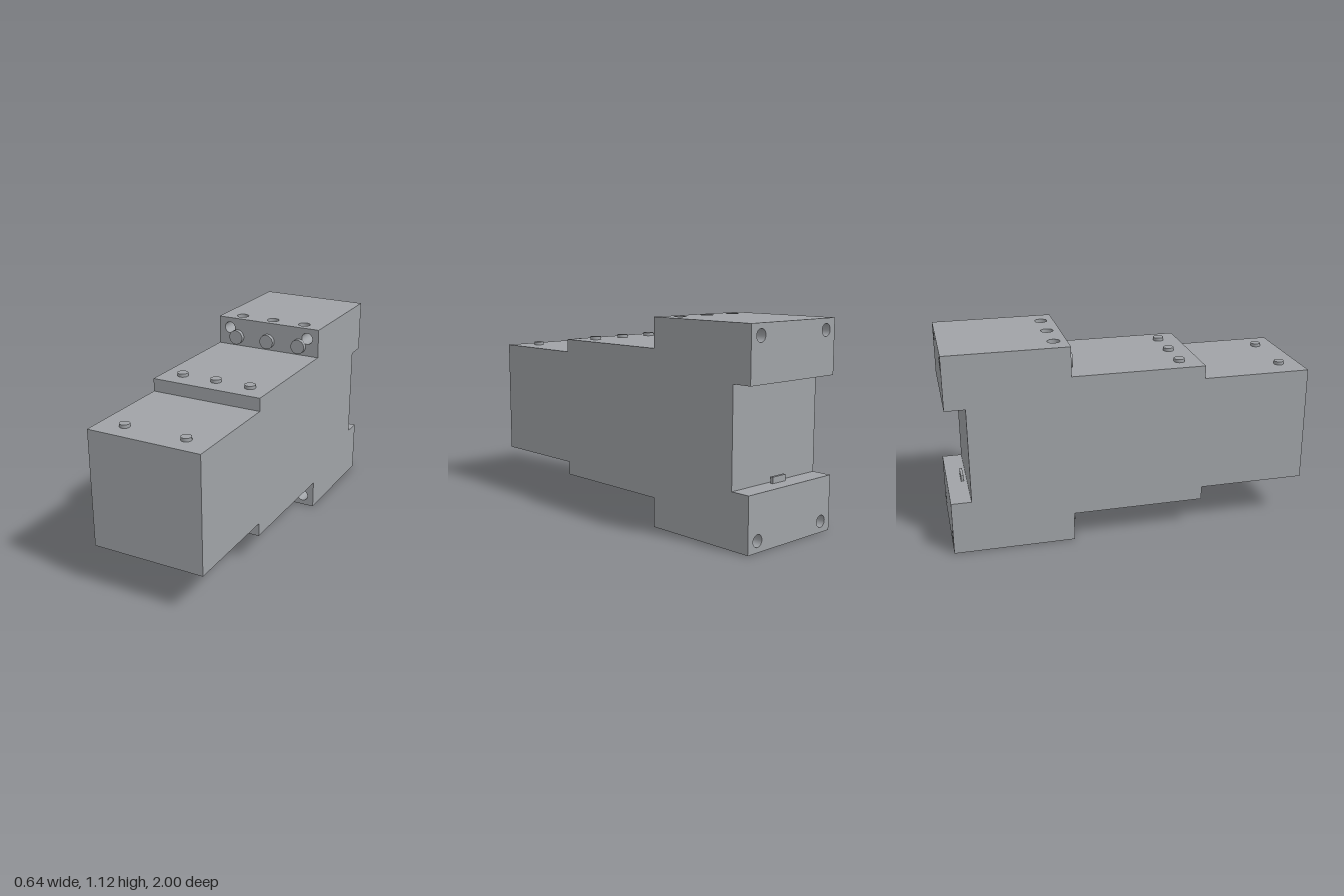
import * as THREE from 'three';

export function createModel() {
  const model = new THREE.Group();
  const grey = new THREE.MeshStandardMaterial({ color: 0xa0a3a7, side: THREE.DoubleSide });
  grey.name = 'housing grey';
  const HALF = 0.32;

  function add(name, geometry, x = 0, y = 0, z = 0) {
    const mesh = new THREE.Mesh(geometry, grey);
    mesh.name = name;
    mesh.position.set(x, y, z);
    model.add(mesh);
    return mesh;
  }

  // Stepped side profile as [z, y], with the rail notch at the back
  const profile = [
    [1, 0.235], [0.4, 0.235], [0.4, 0.16], [-0.335, 0.16],
    [-0.335, 0], [-1, 0], [-1, 0.298], [-0.89, 0.298],
    [-0.89, 0.825], [-1, 0.825], [-1, 1.12], [-0.335, 1.12],
    [-0.335, 0.957], [0.4, 0.957], [0.4, 0.885], [1, 0.885],
  ];

  // Hole mouths as [x, y, z, radius]
  const mouths = [];
  const boreX = [-0.2, 0, 0.2];
  for (const x of [-0.25, 0.25]) {
    for (const y of [0.06, 1.06]) {
      mouths.push([x, y, -0.335, 0.033], [x, y, -1, 0.033]);
      // Mounting hole running front to back
      const tube = new THREE.CylinderGeometry(0.033, 0.033, 0.665, 32, 1, true);
      add('mountingHole', tube.rotateX(Math.PI / 2), x, y, -0.6675);
    }
  }

  // Upright bore walls, from y0 to y1
  function bore(x, z, y0, y1, r) {
    add('uprightBore', new THREE.CylinderGeometry(r, r, y1 - y0, 32, 1, true), x, (y0 + y1) / 2, z);
  }
  for (const x of boreX) {
    mouths.push([x, 0, -0.405, 0.034], [x, 1.12, -0.405, 0.034]);
    // Walls break off where the mounting holes cross
    for (const [y0, y1] of [[0, 0.027], [0.093, 1.027], [1.093, 1.12]]) bore(x, -0.405, y0, y1, 0.034);
  }
  // Holes in the underside near the back
  for (const [x, depth] of [[0.25, 0.026], [-0.15, 0.2]]) {
    mouths.push([x, 0, -0.96, 0.03]);
    bore(x, -0.96, 0, depth, 0.03);
  }

  // Terminal bar inside the bores
  add('terminalBar', new THREE.BoxGeometry(0.4, 0.7, 0.08), 0, 0.56, -0.377);

  // Housing side walls
  const side = new THREE.ShapeGeometry(new THREE.Shape(profile.map(([z, y]) => new THREE.Vector2(-z, y))));
  side.rotateY(Math.PI / 2);
  add('leftWall', side, HALF);
  add('rightWall', side, -HALF);

  // One wall panel for each edge of the profile, pierced by the mouths lying on it
  profile.forEach(([z0, y0], i) => {
    const [z1, y1] = profile[(i + 1) % profile.length];
    const start = new THREE.Vector3(0, y0, z0);
    const along = new THREE.Vector3(0, y1 - y0, z1 - z0);
    const length = along.length();
    along.normalize();
    const across = new THREE.Vector3(1, 0, 0);
    const normal = new THREE.Vector3().crossVectors(along, across);
    const panel = new THREE.Shape([
      new THREE.Vector2(0, -HALF), new THREE.Vector2(length, -HALF),
      new THREE.Vector2(length, HALF), new THREE.Vector2(0, HALF),
    ]);
    for (const [x, y, z, r] of mouths) {
      const offset = new THREE.Vector3(0, y, z).sub(start);
      const s = offset.dot(along);
      if (Math.abs(offset.dot(normal)) < 1e-4 && s > 0 && s < length) {
        panel.holes.push(new THREE.Path().absarc(s, x, r, 0, Math.PI * 2, true));
      }
    }
    const geometry = new THREE.ShapeGeometry(panel, 16);
    geometry.applyMatrix4(new THREE.Matrix4().makeBasis(along, across, normal).setPosition(start));
    add('housingPanel', geometry);
  });

  // Screw heads on the upper and lower steps
  function screw(x, y, z, r, height) {
    add('screwHead', new THREE.CylinderGeometry(r, r, height, 32), x, y, z);
  }
  for (const x of [-0.177, 0.175]) {
    screw(x, 0.894, 0.885, 0.028, 0.018);
    screw(x, 0.226, 0.885, 0.028, 0.018);
  }
  for (const x of [-0.206, 0, 0.204]) {
    screw(x, 0.966, 0.285, 0.03, 0.018);
    screw(x, 0.152, 0.285, 0.03, 0.016);
  }

  // Terminal discs on the front faces of the back block
  for (const x of boreX) {
    for (const y of [0.11, 1.01]) {
      const disc = new THREE.CylinderGeometry(0.042, 0.042, 0.025, 32);
      add('terminalDisc', disc.rotateX(Math.PI / 2), x, y, -0.3225);
    }
  }

  // Rail catch in the notch
  add('railCatch', new THREE.BoxGeometry(0.1, 0.034, 0.015), 0, 0.315, -0.915);

  return model;
}
